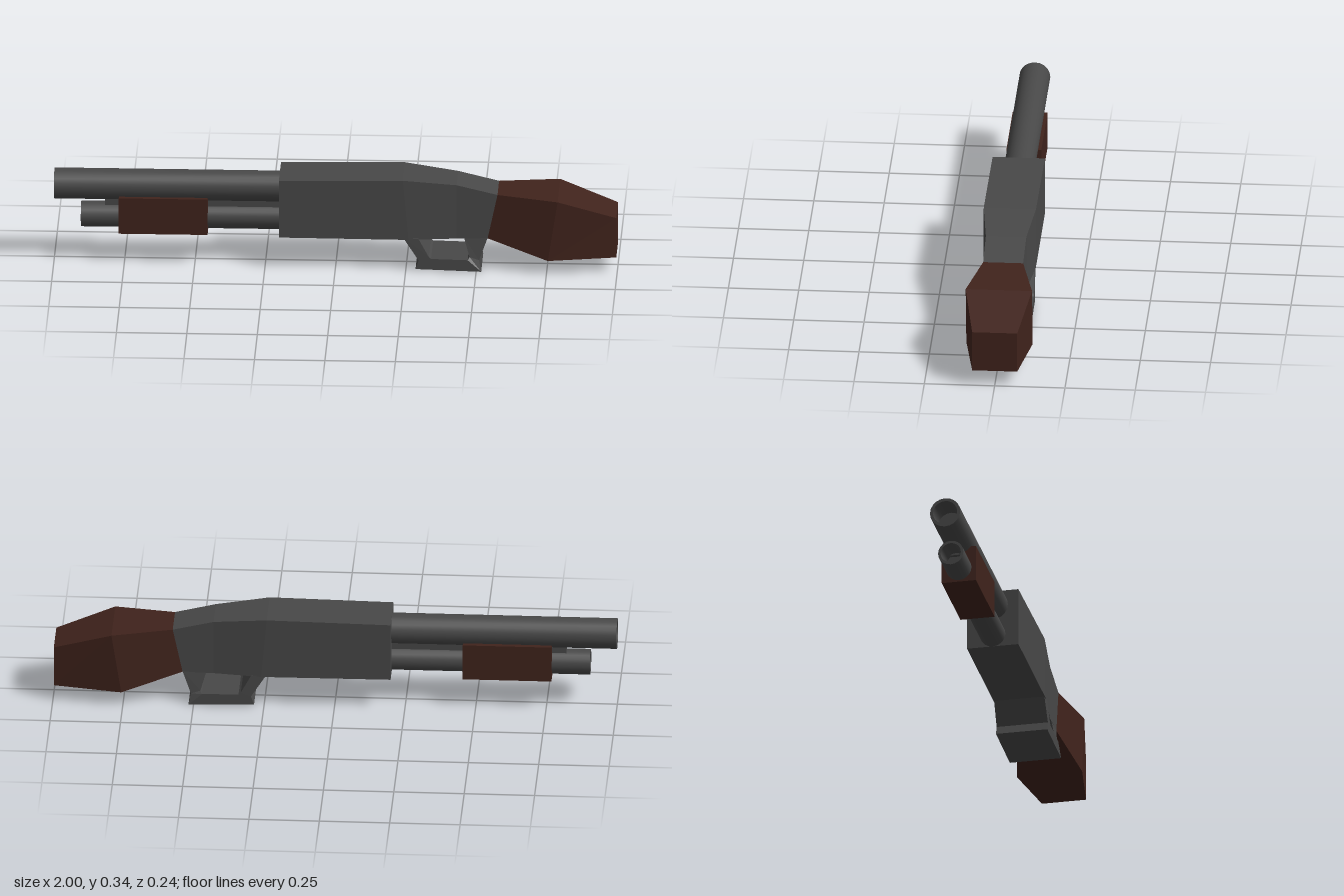
import * as THREE from 'three';
import { toCreasedNormals } from 'three/addons/utils/BufferGeometryUtils.js';

const metal = new THREE.MeshStandardMaterial({ color: 0x484848, flatShading: true });
const metalSmooth = new THREE.MeshStandardMaterial({ color: 0x484848 });
const wood = new THREE.MeshStandardMaterial({ color: 0x40231c, flatShading: true });

// Joins four-cornered sections [a, b, halfWidth]; a lies left of the travel direction.
function loft(sections) {
  const pos = [], index = [];
  for (const [a, b, w] of sections) {
    pos.push(...a, w, ...a, -w, ...b, -w, ...b, w);
  }
  for (let i = 0; i < sections.length - 1; i++) {
    for (let j = 0; j < 4; j++) {
      const p = i * 4 + j, q = i * 4 + (j + 1) % 4;
      index.push(p, p + 4, q + 4, p, q + 4, q);
    }
  }
  const e = (sections.length - 1) * 4;
  index.push(0, 1, 2, 0, 2, 3, e, e + 2, e + 1, e, e + 3, e + 2);
  const g = new THREE.BufferGeometry();
  g.setAttribute('position', new THREE.Float32BufferAttribute(pos, 3));
  g.setIndex(index);
  const flat = g.toNonIndexed();
  flat.computeVertexNormals();
  return flat;
}

// Round tube pointing to -x with a bored-out end.
function boredTube(radius, length) {
  const bore = radius * 0.8, depth = 0.1;
  const profile = [[0, 0], [radius, 0], [radius, length], [bore, length], [bore, length - depth], [0, length - depth]]
    .map(([r, y]) => new THREE.Vector2(r, y));
  const g = new THREE.LatheGeometry(profile, 20);
  g.rotateZ(Math.PI / 2);
  return toCreasedNormals(g, 0.7);
}

export function createModel() {
  const model = new THREE.Group();
  const add = (name, geometry, material, x = 0, y = 0, z = 0) => {
    const mesh = new THREE.Mesh(geometry, material);
    mesh.name = name;
    mesh.position.set(x, y, z);
    model.add(mesh);
  };

  // Receiver, narrowing towards the stock
  add('receiver', loft([
    [[-0.2, 0.337], [-0.2, 0.122], 0.093],
    [[0.24, 0.344], [0.26, 0.12], 0.093],
    [[0.43, 0.322], [0.43, 0.12], 0.072],
    [[0.575, 0.287], [0.54, 0.122], 0.071],
  ]), metal);

  // Trigger guard: front strut, bottom bar, rear strut
  add('triggerGuard', loft([
    [[0.295, 0.124], [0.243, 0.124], 0.091],
    [[0.332, 0.056], [0.296, 0.042], 0.093],
    [[0.34, 0.049], [0.285, 0.01], 0.093],
    [[0.47, 0.046], [0.518, 0.003], 0.093],
    [[0.476, 0.054], [0.51, 0.042], 0.081],
    [[0.456, 0.124], [0.54, 0.124], 0.071],
  ]), metal);

  // Wooden stock
  add('stock', loft([
    [[0.575, 0.287], [0.54, 0.122], 0.071],
    [[0.79, 0.28], [0.755, 0.057], 0.118],
    [[0.997, 0.209], [0.997, 0.06], 0.08],
  ]), wood);

  // Barrel above the magazine tube, with a rib between them
  add('barrel', boredTube(0.055, 0.82), metalSmooth, -0.18, 0.282);
  add('magazineTube', boredTube(0.046, 0.725), metalSmooth, -0.18, 0.168);
  add('rib', new THREE.BoxGeometry(0.63, 0.05, 0.04), metal, -0.505, 0.222);

  // Sliding fore grip
  add('foreGrip', new THREE.BoxGeometry(0.315, 0.134, 0.124), wood, -0.612, 0.183);

  return model;
}
